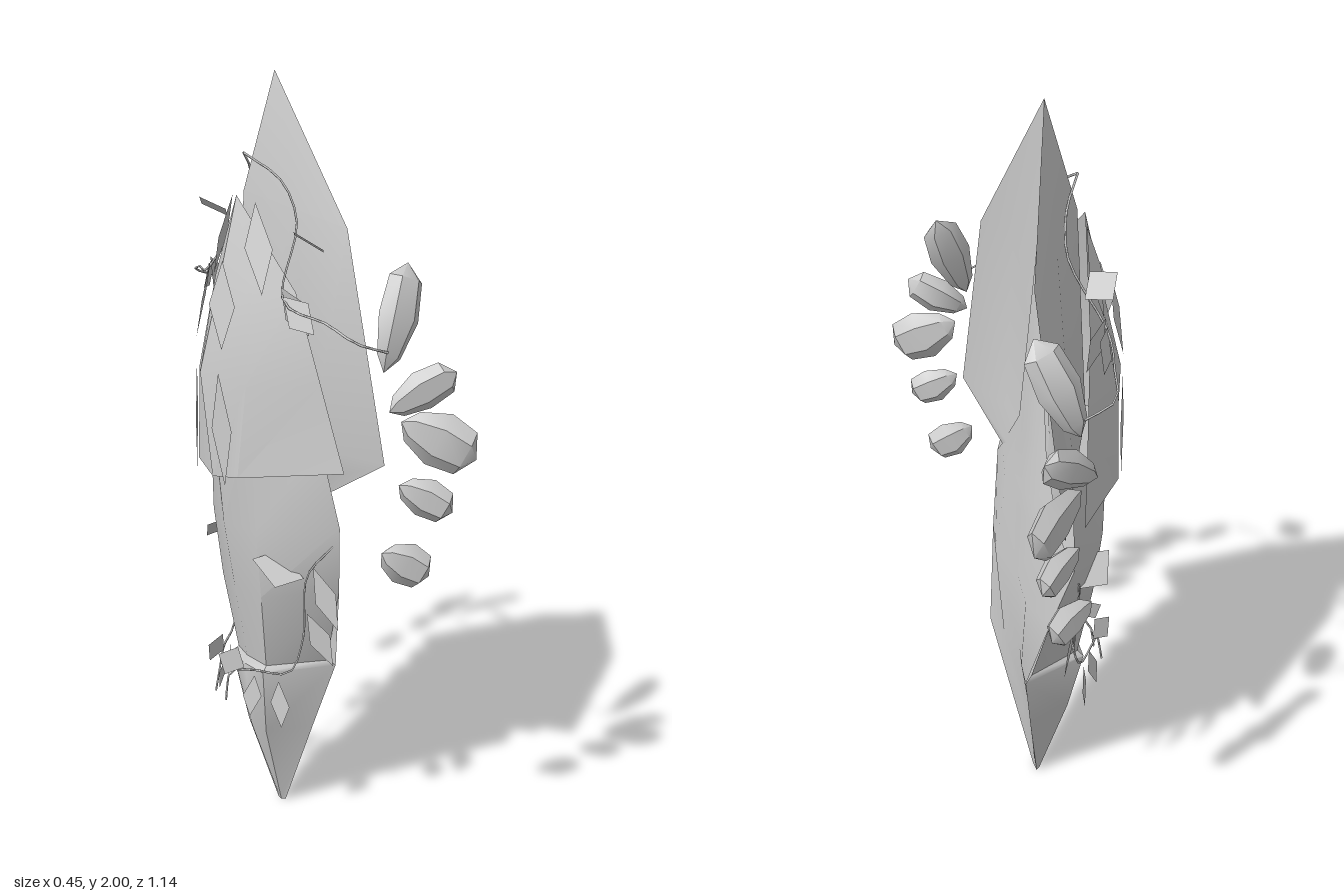
import * as THREE from 'three';
import { toCreasedNormals } from 'three/addons/utils/BufferGeometryUtils.js';

const grey = new THREE.MeshStandardMaterial({ color: 0xcccccc, side: THREE.DoubleSide });
grey.name = 'pale grey';

function part(name, geometry) {
  const mesh = new THREE.Mesh(geometry, grey);
  mesh.name = name;
  return mesh;
}

function fromTriangles(points) {
  const g = new THREE.BufferGeometry();
  g.setAttribute('position', new THREE.Float32BufferAttribute(points.flat(), 3));
  g.computeVertexNormals();
  return g;
}

// Rows run from the centre line out to the rim and are mirrored in z, the
// +z side sitting slightly higher. Faces look to -x, or to +x when flipped.
function plate(name, rows, flip = false) {
  const full = rows
    .map(r => [...r.slice(1).reverse().map(([x, y, z]) => [x, y, -z]), ...r])
    .map(r => r.map(([x, y, z]) => [x, y + 0.065 * z, z]));
  const tris = [];
  const add = (a, b, c) => {
    const [A, B, C] = [a, b, c].map(p => new THREE.Vector3(...p));
    if (B.clone().sub(A).cross(C.clone().sub(A)).length() < 1e-7) return;
    tris.push(...(flip ? [a, c, b] : [a, b, c]));
  };
  for (let i = 0; i + 1 < full.length; i++) {
    const half = (full[i].length - 1) / 2;
    for (let j = 0; j < 2 * half; j++) {
      const a = full[i][j], b = full[i][j + 1], c = full[i + 1][j], d = full[i + 1][j + 1];
      if (j < half) { add(a, c, d); add(a, d, b); }
      else { add(a, c, b); add(b, c, d); }
    }
  }
  return part(name, toCreasedNormals(fromTriangles(tris), 0.6));
}

// Faceted floating petal from a to b
function petal(a, b, width, thick) {
  const A = new THREE.Vector3(...a), B = new THREE.Vector3(...b);
  const u = B.clone().sub(A), length = u.length();
  u.normalize();
  const hint = Math.abs(u.y) > 0.8 ? new THREE.Vector3(1, 0, 0) : new THREE.Vector3(0, 1, 0);
  const t = u.clone().cross(hint).normalize();
  const w = t.clone().cross(u);
  const g = new THREE.SphereGeometry(1, 6, 4);
  const p = g.attributes.position;
  for (let i = 0; i < p.count; i++) {
    const y = p.getY(i), k = 1 + 0.25 * y; // broader towards the outer end
    p.setXYZ(i, p.getX(i) * k * width / 2, y * length / 2, p.getZ(i) * k * thick / 2 + 0.012 * y * y);
  }
  g.applyMatrix4(new THREE.Matrix4().makeBasis(w, u, t).setPosition(A.add(B).multiplyScalar(0.5)));
  return part('floatingPetal', toCreasedNormals(g, 0.6));
}

// Flat diamond leaf from a to b, with its half width given as a vector
function leaf(a, b, side) {
  const m = a.map((v, i) => v * 0.5 + b[i] * 0.5);
  const l = m.map((v, i) => v + side[i]), r = m.map((v, i) => v - side[i]);
  return part('leaf', fromTriangles([a, l, b, a, b, r]));
}

function vine(points) {
  const curve = new THREE.CatmullRomCurve3(points.map(p => new THREE.Vector3(...p)));
  return part('vine', new THREE.TubeGeometry(curve, 20, 0.003, 4));
}

export function createModel() {
  const model = new THREE.Group();
  model.name = 'leafMask';

  // Wide backing plate: ridged outside, shallow fold inside
  const apex = [-0.015, 2, 0];
  const shoulder = [0.08, 1.63, 0.19], corner = [0.075, 1.08, 0.388], notch = [0.025, 0.97, 0.21];
  model.add(plate('backPlateOuter', [
    [apex, apex, apex],
    [[-0.1, 1.72, 0], [-0.01, 1.675, 0.1], shoulder],
    [[-0.13, 1.15, 0], [-0.02, 1.1, 0.2], corner],
    [[-0.08, 0.97, 0], [-0.02, 0.97, 0.1], notch],
  ]));
  model.add(plate('backPlateInner', [
    [apex, apex, apex],
    [[-0.03, 1.67, 0], [0.025, 1.65, 0.1], shoulder],
    [[-0.03, 1.1, 0], [0.015, 1.09, 0.2], corner],
    [[-0.01, 0.97, 0], [0.01, 0.97, 0.1], notch],
  ], true));

  // Ridged face plate
  const brow = [-0.12, 1.71, 0];
  model.add(plate('facePlate', [
    [brow, brow, brow],
    [[-0.17, 1.5, 0], [-0.13, 1.5, 0.1], [-0.06, 1.49, 0.19]],
    [[-0.225, 1.28, 0], [-0.165, 1.26, 0.13], [-0.03, 1.27, 0.26]],
    [[-0.195, 1.0, 0], [-0.18, 1.02, 0.11], [0, 1.055, 0.325]],
  ]));

  // Lower plate: outer shell and inner spiked shell share a rim
  const rim = [[0.012, 0.9, 0.288], [0.05, 0.7, 0.225], [0.09, 0.45, 0.145], [0.055, 0.25, 0.085], [0.01, 0, 0.015]];
  model.add(plate('chinPlate', [
    [[-0.19, 1.14, 0], [-0.15, 1.13, 0.1], [-0.01, 1.12, 0.22]],
    [[-0.165, 0.87, 0], [-0.135, 0.87, 0.12], rim[0]],
    [[-0.135, 0.68, 0], [-0.115, 0.68, 0.11], rim[1]],
    [[-0.1, 0.47, 0], [-0.085, 0.465, 0.08], [0.07, 0.465, 0.135]],
    [[-0.11, 0.45, 0], [-0.1, 0.45, 0.09], rim[2]],
    [[-0.085, 0.25, 0], [-0.07, 0.25, 0.05], rim[3]],
    [[0, 0, 0], [0, 0, 0.008], rim[4]],
  ]));
  const spike = [0, 1.67, 0];
  model.add(plate('innerPlate', [
    [spike, spike, spike],
    [[0.03, 1.12, 0], [0.025, 1.12, 0.05], [0.015, 1.12, 0.1]],
    [[0.045, 0.97, 0], [0.04, 0.97, 0.1], notch],
    [[0.05, 0.9, 0], [0.045, 0.9, 0.13], rim[0]],
    [[0.06, 0.7, 0], [0.08, 0.7, 0.12], rim[1]],
    [[0.055, 0.45, 0], [0.075, 0.45, 0.07], rim[2]],
    [[0.03, 0.25, 0], [0.04, 0.25, 0.04], rim[3]],
    [[0.01, 0, 0], [0.01, 0, 0.008], rim[4]],
  ], true));

  // Growth on one side, mirrored to the other
  const side = new THREE.Group();
  side.name = 'sideGrowth';
  [
    [[0.05, 1.35, 0.425], [0.145, 1.59, 0.37], 0.11, 0.06],
    [[0.035, 1.27, 0.46], [0.185, 1.36, 0.51], 0.1, 0.05],
    [[0.075, 1.24, 0.455], [0.225, 1.15, 0.55], 0.14, 0.065],
    [[0.075, 1.08, 0.45], [0.19, 1.01, 0.51], 0.1, 0.06],
    [[0.035, 0.91, 0.44], [0.15, 0.84, 0.475], 0.11, 0.06],
  ].forEach(p => side.add(petal(...p)));

  side.add(vine([[-0.1, 1.81, 0], [-0.04, 1.75, 0.08], [-0.025, 1.66, 0.13], [-0.1, 1.49, 0.2],
    [-0.06, 1.46, 0.34], [-0.03, 1.43, 0.42], [0.05, 1.4, 0.43]]));
  side.add(vine([[0.01, 0.86, 0.26], [-0.035, 0.77, 0.21], [-0.03, 0.58, 0.18], [-0.06, 0.48, 0.16],
    [-0.13, 0.47, 0.08], [-0.165, 0.45, 0.03], [-0.18, 0.37, 0.03]]));

  [
    // upper leaves
    [[-0.06, 1.64, 0.18], [-0.06, 1.63, 0.32], [-0.04, 0.028, 0]],
    [[-0.1, 1.5, 0.2], [-0.06, 1.42, 0.28], [0.02, 0.03, 0.01]],
    [[-0.1, 1.7, 0.06], [-0.12, 1.49, 0.13], [0.025, 0, 0.025]],
    [[-0.175, 1.56, 0.03], [-0.2, 1.35, 0.07], [0.02, 0, 0.03]],
    [[-0.1, 1.52, 0.19], [-0.04, 1.4, 0.22], [0.02, 0.02, 0.01]],
    [[-0.205, 1.29, 0.06], [-0.2, 1.0, 0.08], [0.015, 0, 0.025]],
    // lower leaves
    [[-0.15, 0.81, 0.13], [-0.04, 0.76, 0.2], [0.025, 0.035, -0.03]],
    [[-0.03, 0.8, 0.23], [0.01, 0.64, 0.29], [0.015, 0.02, 0.025]],
    [[-0.03, 0.66, 0.2], [0.02, 0.52, 0.25], [0.015, 0.02, 0.025]],
    [[-0.08, 0.45, 0.14], [-0.08, 0.32, 0.155], [0.015, 0, 0.025]],
    [[-0.2, 0.51, 0.03], [-0.14, 0.47, 0.06], [0.02, 0.035, 0]],
    [[-0.12, 0.45, 0.08], [-0.14, 0.34, 0.09], [0.02, 0, 0.015]],
  ].forEach(l => side.add(leaf(...l)));

  const mirrored = side.clone();
  mirrored.name = 'sideGrowthMirrored';
  mirrored.scale.z = -1;
  model.add(side, mirrored);
  return model;
}
